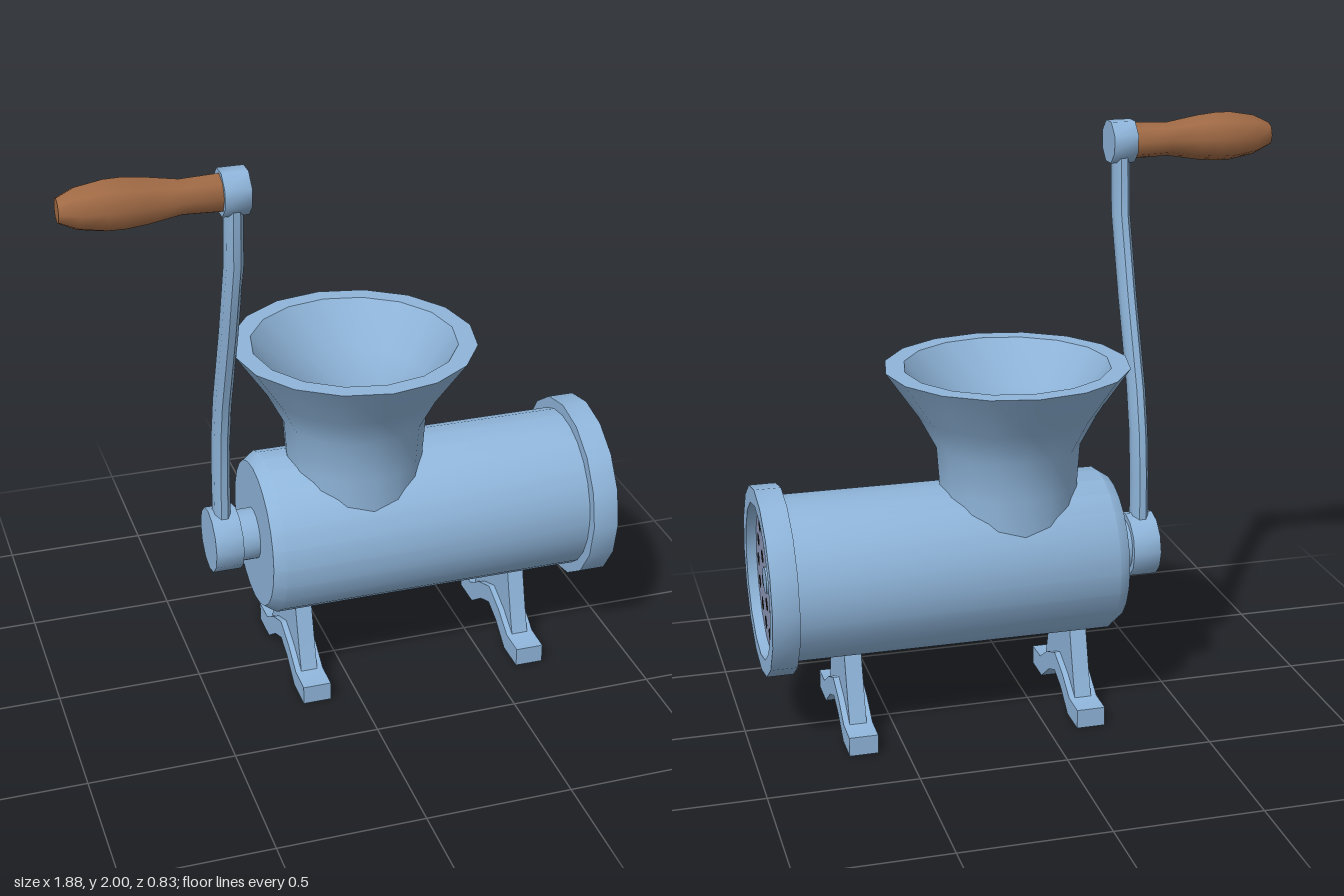
import * as THREE from 'three';
import { toCreasedNormals } from 'three/addons/utils/BufferGeometryUtils.js';

const paint = new THREE.MeshStandardMaterial({ color: 0x8fb5da });
const steel = new THREE.MeshStandardMaterial({ color: 0x8b95b5 });
const wood = new THREE.MeshStandardMaterial({ color: 0xa06a45 });
const dark = new THREE.MeshStandardMaterial({ color: 0x111111 });

const AXIS_Y = 0.545; // height of the barrel axis

const lathe = (profile, sides) =>
  new THREE.LatheGeometry(profile.map(([r, h]) => new THREE.Vector2(r, h)), sides);

// Turned part lying along x: profile is [radius, x], from low x to high x
const turned = (profile, sides, turn = 0) =>
  lathe(profile, sides).rotateY(turn).rotateZ(-Math.PI / 2);

export function createModel() {
  const root = new THREE.Group();

  function add(name, geometry, material, position = [0, 0, 0], crease = 0.6) {
    const mesh = new THREE.Mesh(toCreasedNormals(geometry, crease), material);
    mesh.name = name;
    mesh.position.set(...position);
    root.add(mesh);
    return mesh;
  }

  // Barrel with a chamfered back end
  add('barrel', turned([[0, -0.29], [0.255, -0.29], [0.282, -0.25], [0.282, 0.86], [0, 0.86]], 24),
    paint, [0, AXIS_Y, 0]);

  // Clamping ring around the front of the barrel
  add('ring', turned([[0.265, 0.845], [0.322, 0.845], [0.322, 0.935], [0.265, 0.935], [0.265, 0.845]], 16),
    paint, [0, AXIS_Y, 0]);

  // Perforated plate: two circles of holes and a central pin
  const plateX = 0.9;
  add('plate', turned([[0.266, 0.86], [0.266, plateX], [0, plateX]], 16), steel, [0, AXIS_Y, 0]);
  add('pin', turned([[0.046, plateX - 0.01], [0.046, plateX + 0.012], [0, plateX + 0.012]], 12),
    paint, [0, AXIS_Y, 0]);
  for (const [count, radius, offset] of [[16, 0.2, 0], [8, 0.115, 0.5]]) {
    for (let i = 0; i < count; i++) {
      const a = ((i + offset) / count) * Math.PI * 2;
      add('plateHole', new THREE.CircleGeometry(0.024, 10).rotateY(Math.PI / 2), dark,
        [plateX + 0.002, AXIS_Y + radius * Math.cos(a), radius * Math.sin(a)]);
    }
  }

  // Hopper: flared funnel with a thick rim and dark throat
  add('hopper', lathe([
    [0.235, 0.66], [0.237, 0.82], [0.247, 0.96], [0.305, 1.07], [0.415, 1.23],
    [0.35, 1.23], [0.25, 1.08], [0.192, 0.97], [0.175, 0.83],
  ], 16), paint, [0.07, 0, 0]);
  add('throat', new THREE.CircleGeometry(0.178, 16).rotateX(-Math.PI / 2), dark, [0.07, 0.84, 0]);

  // Shaft and hub at the back of the barrel
  add('shaft', turned([[0.09, -0.36], [0.09, -0.28]], 16), paint, [0, AXIS_Y, 0]);
  add('hub', turned([[0, -0.45], [0.113, -0.45], [0.113, -0.353], [0, -0.353]], 12),
    paint, [0, AXIS_Y, 0]);

  // Crank arm: an eight-sided bar following an S-curve, path is [y, z]
  const path = [[0.55, 0], [0.8, 0.005], [0.95, 0.02], [1.1, 0.055], [1.4, 0.165], [1.67, 0.25], [1.89, 0.263]];
  const arm = new THREE.CylinderGeometry(1, 1, path.length - 1, 8, path.length - 1).rotateY(Math.PI / 8);
  const p = arm.attributes.position;
  for (let i = 0; i < p.count; i++) {
    const [y, z] = path[Math.round(p.getY(i) + (path.length - 1) / 2)];
    p.setXYZ(i, -0.403 + p.getX(i) * 0.03, y, z + p.getZ(i) * 0.051);
  }
  add('crankArm', arm, paint, [0, 0, 0], 0.9);

  // Ferrule and turned wooden grip
  const gripAt = [0, 1.916, 0.262];
  add('ferrule', turned([[0, -0.445], [0.076, -0.445], [0.076, -0.36], [0, -0.36]], 8, Math.PI / 8),
    paint, gripAt, 0.9);
  add('grip', turned([
    [0, -0.943], [0.04, -0.943], [0.068, -0.885], [0.083, -0.8], [0.084, -0.75],
    [0.077, -0.68], [0.058, -0.57], [0.063, -0.44], [0, -0.44],
  ], 8), wood, gripAt, 1.0);

  // Symmetric slab in the z-y plane with a given thickness along x
  function slab(half, thickness) {
    const mirrored = half.map(([z, y]) => [-z, y]).reverse();
    const shape = new THREE.Shape([...half, ...mirrored].map(([z, y]) => new THREE.Vector2(z, y)));
    return new THREE.ExtrudeGeometry(shape, { depth: thickness, bevelEnabled: false })
      .translate(0, 0, -thickness / 2).rotateY(Math.PI / 2);
  }

  // Two stands: a wide arched foot with a thin web up to the barrel
  for (const x of [-0.148, 0.642]) {
    add('foot', slab([
      [0.001, 0.095], [0.075, 0.065], [0.165, 0], [0.282, 0], [0.282, 0.066],
      [0.185, 0.068], [0.1, 0.122], [0.001, 0.162],
    ], 0.098), paint, [x, 0, 0]);
    add('web', slab([
      [0.001, 0.13], [0.1, 0.09], [0.188, 0.062], [0.165, 0.13], [0.142, 0.21],
      [0.118, 0.295], [0.001, 0.3],
    ], 0.058), paint, [x, 0, 0]);
  }

  return root;
}
